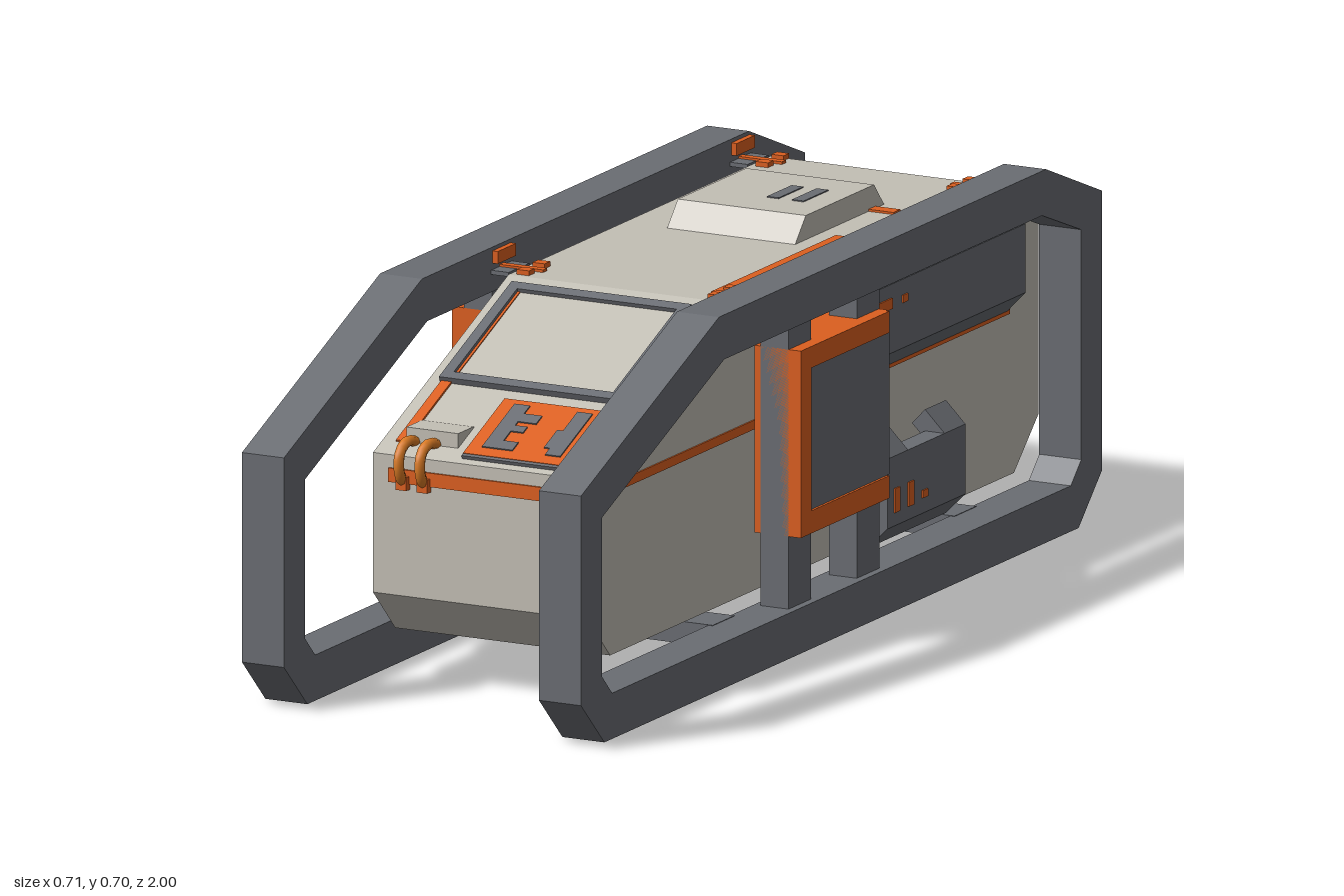
import * as THREE from 'three';

const mat = (name, color) => {
  const m = new THREE.MeshStandardMaterial({ color });
  m.name = name;
  return m;
};

export function createModel() {
  const shell = mat('warm grey shell', 0xc3bfb5);
  const steel = mat('steel grey', 0x6a6d73);
  const orange = mat('orange', 0xdc5f1f);
  const amber = mat('amber hose', 0xdc7c26);
  const root = new THREE.Group();
  root.name = 'cargoPod';

  const add = (name, geo, m, parent = root) => {
    const mesh = new THREE.Mesh(geo, m);
    mesh.name = name;
    parent.add(mesh);
    return mesh;
  };
  // box given by its limits on each axis
  const box = (name, m, x0, x1, y0, y1, z0, z1, parent = root) => {
    const geo = new THREE.BoxGeometry(Math.abs(x1 - x0), y1 - y0, z1 - z0);
    geo.translate((x0 + x1) / 2, (y0 + y1) / 2, (z0 + z1) / 2);
    return add(name, geo, m, parent);
  };
  const shapeOf = (pts) => new THREE.Shape(pts.map(([a, b]) => new THREE.Vector2(a, b)));
  // (z, y) outline extruded across x
  const across = (shape, x0, x1) => {
    const geo = new THREE.ExtrudeGeometry(shape, { depth: x1 - x0, bevelEnabled: false });
    return geo.rotateY(-Math.PI / 2).translate(x1, 0, 0);
  };
  // (x, y) outline extruded along z, mirrored for the right side
  const along = (pts, side, z0, z1) => {
    const shape = shapeOf(pts.map(([x, y]) => [x * side, y]));
    return new THREE.ExtrudeGeometry(shape, { depth: z1 - z0, bevelEnabled: false }).translate(0, 0, z0);
  };

  // main hull
  add('hull', across(shapeOf([
    [0.735, 0.175], [0.735, 0.435], [0.215, 0.652], [-0.79, 0.652],
    [-0.995, 0.565], [-0.995, 0.18], [-0.9, 0.09], [0.65, 0.09],
  ]), -0.22, 0.22), shell);

  // side roll frames and the cross bars joining them
  const frame = shapeOf([
    [0.91, 0], [1, 0.088], [1, 0.478], [0.47, 0.695],
    [-0.785, 0.695], [-1, 0.608], [-1, 0.088], [-0.91, 0],
  ]);
  frame.holes.push(new THREE.Path([
    [0.88, 0.085], [0.92, 0.125], [0.92, 0.42], [0.45, 0.612],
    [-0.77, 0.612], [-0.92, 0.553], [-0.92, 0.125], [-0.88, 0.085],
  ].map(([a, b]) => new THREE.Vector2(a, b))));
  for (const s of [-1, 1]) {
    const x = [0.261, 0.347].map((v) => v * s).sort((a, b) => a - b);
    add('sideFrame', across(frame, x[0], x[1]), steel);
  }
  for (const z of [0.308, -0.62]) box('crossBar', steel, -0.27, 0.27, 0.045, 0.086, z - 0.042, z + 0.042);

  // equipment on both sides
  for (const s of [-1, 1]) {
    const sbox = (name, m, x0, x1, ...r) => box(name, m, s * x0, s * x1, ...r);
    for (const z of [0.132, -0.13]) sbox('framePost', steel, 0.275, 0.332, 0.08, 0.62, z - 0.043, z + 0.043);
    sbox('displayHousing', orange, 0.262, 0.349, 0.22, 0.568, -0.172, 0.175);
    // raised rim with an open rear edge
    sbox('displayRim', orange, 0.345, 0.357, 0.528, 0.568, -0.165, 0.175);
    sbox('displayRim', orange, 0.345, 0.357, 0.22, 0.262, -0.165, 0.175);
    sbox('displayRim', orange, 0.345, 0.357, 0.262, 0.528, 0.134, 0.175);
    sbox('displayScreen', steel, 0.348, 0.352, 0.262, 0.528, -0.174, 0.134);

    add('upperPod', along([[0.215, 0.607], [0.22, 0.607], [0.26, 0.565], [0.26, 0.437], [0.22, 0.395], [0.215, 0.395]],
      s, -0.87, -0.26), steel);
    sbox('podMark', orange, 0.258, 0.263, 0.52, 0.54, -0.355, -0.285);
    sbox('podMark', orange, 0.258, 0.263, 0.522, 0.536, -0.415, -0.395);

    sbox('sideStripe', orange, 0.218, 0.223, 0.391, 0.408, -0.88, 0.6);
    // roof latches
    for (const z of [0.165, -0.752]) {
      sbox('latchPlate', orange, 0.172, 0.262, 0.652, 0.657, z - 0.008, z + 0.008);
      sbox('latchBase', steel, 0.225, 0.262, 0.645, 0.653, z - 0.04, z + 0.04);
      for (const d of [-0.03, 0.03]) sbox('latchPad', orange, 0.183, 0.208, 0.652, 0.661, z + d - 0.011, z + d + 0.011);
      sbox('latchHook', orange, 0.25, 0.262, 0.665, 0.688, z - 0.035, z + 0.035);
    }
    sbox('roofMark', orange, 0.13, 0.182, 0.65, 0.656, -0.535, -0.508);
  }

  // left lower bracket with two raised tabs
  add('lowerPod', along([[0.235, 0.122], [0.262, 0.095], [0.302, 0.135], [0.302, 0.265], [0.262, 0.265], [0.262, 0.145]],
    1, -0.56, -0.26), steel);
  for (const z of [-0.56, -0.34]) {
    add('lowerPodTab', along([[0.262, 0.25], [0.302, 0.25], [0.302, 0.265], [0.262, 0.305], [0.235, 0.277]],
      1, z, z + 0.08), steel);
  }
  for (const z of [-0.295, -0.348]) box('lowerPodMark', orange, 0.3, 0.305, 0.16, 0.205, z - 0.01, z + 0.01);
  box('lowerPodMark', orange, 0.3, 0.305, 0.164, 0.178, -0.412, -0.392);

  // right side tanks
  add('sideTank', along([[0.215, 0.09], [0.22, 0.09], [0.26, 0.13], [0.26, 0.48], [0.22, 0.52], [0.215, 0.52]],
    -1, -0.25, 0.48), shell);
  add('rearTank', along([[0.215, 0.09], [0.22, 0.09], [0.26, 0.13], [0.26, 0.25], [0.22, 0.3], [0.215, 0.3]],
    -1, -0.85, -0.25), shell);
  box('podTab', steel, -0.26, -0.22, 0.36, 0.44, -0.48, -0.35);

  // hoses: short bowed tubes through a few points
  const hose = (name, pts, r) => {
    const curve = new THREE.CatmullRomCurve3(pts.map((p) => new THREE.Vector3(...p)));
    add(name, new THREE.TubeGeometry(curve, 12, r, 8), amber);
  };
  for (const y of [0.512, 0.552]) {
    hose('displayHose', [[0.29, y, -0.165], [0.275, y, -0.2], [0.262, y, -0.235], [0.25, y, -0.268]], 0.011);
    hose('displayHose', [[-0.3, y - 0.05, 0.17], [-0.315, y - 0.05, 0.2], [-0.3, y - 0.05, 0.225], [-0.275, y - 0.05, 0.23]], 0.01);
  }
  for (const x of [-0.155, -0.112]) {
    hose('noseHose', [[x, 0.453, 0.69], [x, 0.461, 0.725], [x, 0.448, 0.752], [x, 0.42, 0.758], [x, 0.395, 0.748], [x, 0.383, 0.73]], 0.01);
    box('hoseClamp', orange, x - 0.011, x + 0.011, 0.375, 0.4, 0.733, 0.75);
  }
  box('hoseBlock', shell, -0.173, -0.067, 0.43, 0.479, 0.635, 0.695);
  box('noseStripe', orange, -0.187, 0.187, 0.385, 0.411, 0.732, 0.739);

  // sloped nose: local y is the surface normal, local z runs downhill
  const nose = new THREE.Group();
  nose.name = 'nosePanel';
  nose.position.set(0, 0.435, 0.735);
  nose.rotation.x = Math.atan2(0.217, 0.52);
  root.add(nose);
  box('windowPane', shell, -0.18, 0.16, -0.005, 0.004, -0.52, -0.24, nose);
  for (const [x0, x1, z0, z1] of [
    [-0.195, -0.174, -0.531, -0.228], [0.152, 0.173, -0.531, -0.228],
    [-0.174, 0.152, -0.531, -0.511], [-0.174, 0.152, -0.248, -0.228],
  ]) box('windowFrame', steel, x0, x1, -0.005, 0.012, z0, z1, nose);
  box('windowStripe', orange, -0.174, -0.169, 0, 0.006, -0.511, -0.248, nose);
  box('noseSideStripe', orange, -0.192, -0.171, -0.002, 0.004, -0.228, -0.04, nose);
  box('controlPanel', orange, -0.045, 0.173, -0.004, 0.008, -0.195, -0.022, nose);
  box('controlPanelEdge', steel, -0.045, 0.173, -0.004, 0.007, -0.022, -0.015, nose);
  for (const [x0, x1, z0, z1] of [
    [-0.017, 0.015, -0.18, -0.045], [0.112, 0.143, -0.18, -0.045],
    [0.015, 0.052, -0.155, -0.13], [0.015, 0.045, -0.07, -0.045],
    [0.015, 0.04, -0.118, -0.1], [0.1, 0.112, -0.12, -0.065],
  ]) box('controlKey', steel, x0, x1, 0.005, 0.0105, z0, z1, nose);

  // roof hatch with sloped front and side edges
  const hatch = new THREE.BoxGeometry(0.262, 0.047, 0.345).translate(0, 0.6735, -0.3975);
  const p = hatch.attributes.position;
  for (let i = 0; i < p.count; i++) {
    if (p.getY(i) > 0.68 && p.getZ(i) > -0.3) p.setZ(i, -0.268);
    if (p.getY(i) > 0.68 && p.getZ(i) < -0.5) p.setZ(i, -0.53);
  }
  hatch.computeVertexNormals();
  add('roofHatch', hatch, shell);
  for (const x of [0.017, 0.068]) box('hatchSlot', steel, x - 0.012, x + 0.012, 0.694, 0.699, -0.45, -0.355);
  box('roofStripe', orange, 0.17, 0.19, 0.65, 0.656, -0.31, 0.165);

  // rear: slope stripe and louvred vent
  const stripe = add('rearStripe', new THREE.BoxGeometry(0.365, 0.006, 0.022), orange);
  stripe.position.set(0, 0.58, -0.962);
  stripe.rotation.x = -Math.atan2(0.087, 0.205);
  box('ventBack', steel, -0.13, 0.13, 0.21, 0.44, -0.997, -0.992);
  for (let i = 0; i < 5; i++) {
    const slat = add('ventSlat', new THREE.BoxGeometry(0.256, 0.036, 0.004), shell);
    slat.position.set(0, 0.236 + i * 0.0445, -0.997);
    slat.rotation.x = 0.15;
  }
  return root;
}
